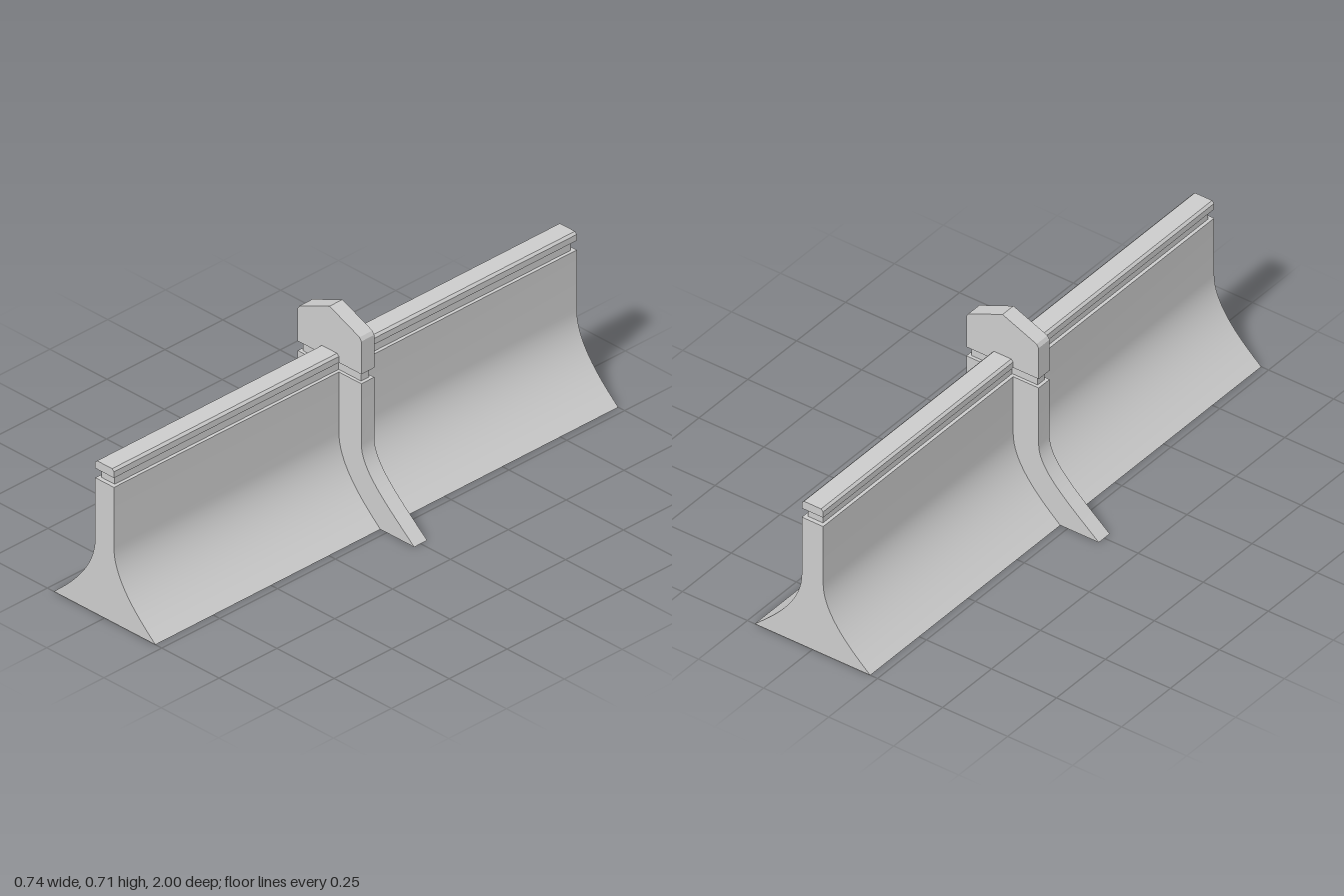
import * as THREE from 'three';
import { toCreasedNormals } from 'three/addons/utils/BufferGeometryUtils.js';

const material = new THREE.MeshStandardMaterial({ color: 0xcccccc });

// Extrudes a symmetric cross-section along z, centred on z = 0.
// half: right-hand outline from bottom to top
function profilePart(name, half, depth) {
  const left = half.filter(([x]) => x > 0).map(([x, y]) => [-x, y]).reverse();
  const shape = new THREE.Shape([...half, ...left].map(([x, y]) => new THREE.Vector2(x, y)));
  const geometry = new THREE.ExtrudeGeometry(shape, { depth, bevelEnabled: false });
  geometry.translate(0, 0, -depth / 2);
  const mesh = new THREE.Mesh(toCreasedNormals(geometry, 0.4), material);
  mesh.name = name;
  return mesh;
}

// Flared foot that sweeps up into a straight vertical side
function flare(points, top) {
  const curve = new THREE.CubicBezierCurve(...points.map(([x, y]) => new THREE.Vector2(x, y)));
  const half = curve.getPoints(20).map((p) => [p.x, p.y]);
  return [...half, [half[20][0], top]];
}

function boxPart(name, width, bottom, top, depth) {
  const mesh = new THREE.Mesh(new THREE.BoxGeometry(width, top - bottom, depth), material);
  mesh.position.y = (bottom + top) / 2;
  mesh.name = name;
  return mesh;
}

export function createModel() {
  const model = new THREE.Group();
  model.name = 'flaredBarrier';

  // Long wall with a recessed neck and a chamfered top rail
  const wall = new THREE.Group();
  wall.name = 'wall';
  wall.add(
    profilePart('wallBody', flare([[0.222, 0], [0.165, 0.05], [0.041, 0.15], [0.041, 0.27]], 0.487), 2),
    boxPart('wallNeck', 0.058, 0.487, 0.521, 1.97),
    profilePart('topRail', [[0.041, 0.521], [0.041, 0.543], [0.033, 0.551]], 2),
  );

  // Cross buttress with its own neck and a gabled head
  const buttress = new THREE.Group();
  buttress.name = 'buttress';
  buttress.add(
    profilePart('buttressBody', flare([[0.37, 0], [0.25, 0.1], [0.139, 0.18], [0.139, 0.27]], 0.487), 0.056),
    boxPart('buttressNeck', 0.254, 0.487, 0.521, 0.034),
    profilePart('buttressHead', [[0.139, 0.521], [0.139, 0.639], [0.131, 0.651], [0, 0.706]], 0.056),
  );

  model.add(wall, buttress);
  return model;
}
